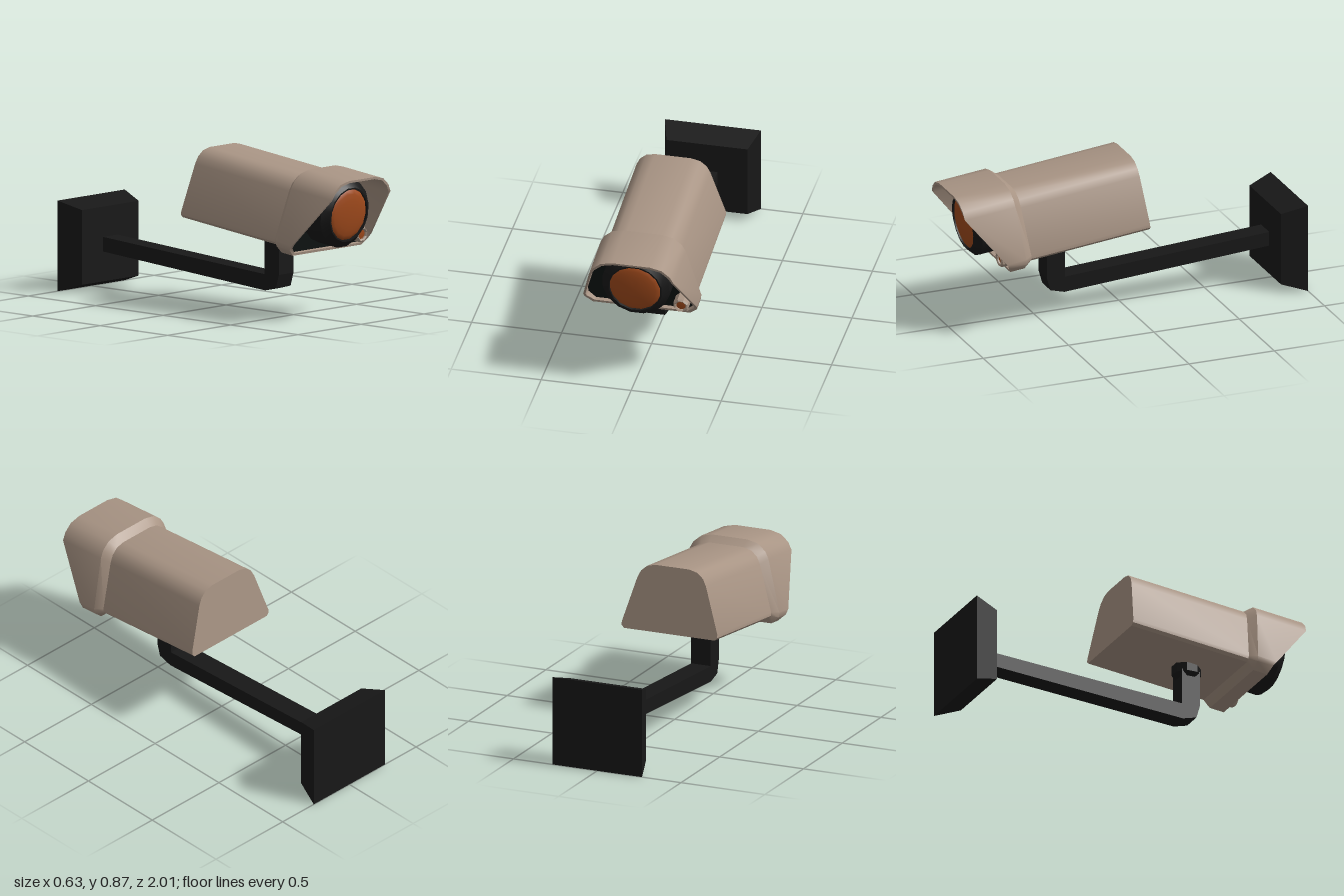
import * as THREE from 'three';
import { toCreasedNormals } from 'three/addons/utils/BufferGeometryUtils.js';

const paint = (color, extra = {}) => new THREE.MeshStandardMaterial({ color, ...extra });
const beige = paint(0xa89484);
const black = paint(0x181818);
const panel = paint(0x0e1312);
const orange = paint(0xa04a1c);

function part(name, geometry, material) {
  const mesh = new THREE.Mesh(geometry, material);
  mesh.name = name;
  return mesh;
}

// Skin between rings of [x, y, z], clockwise seen from +z, optionally capped.
function loft(rings, capped, crease = 0.7) {
  const n = rings[0].length, pos = [];
  const tri = (...corners) => corners.forEach((p) => pos.push(...p));
  for (let i = 0; i + 1 < rings.length; i++) {
    for (let j = 0; j < n; j++) {
      const k = (j + 1) % n;
      const a = rings[i][j], b = rings[i][k], c = rings[i + 1][k], d = rings[i + 1][j];
      tri(a, d, b);
      tri(b, d, c);
    }
  }
  if (capped) {
    const first = rings[0], last = rings[rings.length - 1];
    for (let j = 1; j + 1 < n; j++) {
      tri(first[0], first[j], first[j + 1]);
      tri(last[0], last[j + 1], last[j]);
    }
  }
  const g = new THREE.BufferGeometry();
  g.setAttribute('position', new THREE.Float32BufferAttribute(pos, 3));
  return toCreasedNormals(g, crease);
}

// Mirror a half section (top to bottom on +x) into a closed outline.
const mirror = (half) => [...half, ...half.map(([x, y]) => [-x, y]).reverse()];
const at = (section, z) => section.map(([x, y]) => [x, y, typeof z === 'function' ? z(y) : z]);

// Turned part along z from [radius, z] points.
function turned(points, sides, crease) {
  const g = new THREE.LatheGeometry(points.map(([r, z]) => new THREE.Vector2(r, z)), sides);
  g.rotateY(Math.PI / sides).rotateX(Math.PI / 2);
  return toCreasedNormals(g, crease);
}

export function createModel() {
  const model = new THREE.Group();
  model.name = 'securityCamera';

  // Camera head, tilted nose down; its local z runs along the housing.
  const head = new THREE.Group();
  head.name = 'cameraHead';
  head.position.set(0, 0.505, -0.07);
  head.rotation.x = 0.109;
  model.add(head);

  const bodySection = mirror([[0.1, 0.372], [0.15, 0.36], [0.185, 0.33], [0.205, 0.29],
    [0.285, 0.035], [0.285, 0.015], [0.27, 0]]);
  const hoodSection = mirror([[0.105, 0.408], [0.17, 0.393], [0.215, 0.355], [0.236, 0.315],
    [0.316, 0.03], [0.312, 0.002], [0.27, -0.036]]);
  const innerSection = hoodSection.map(([x, y]) => [x * 0.955, 0.186 + (y - 0.186) * 0.945]);

  head.add(part('housing', loft([at(bodySection, 0), at(bodySection, 0.72)], true), beige));

  // Flared collar and sun hood with a raked front edge
  const rake = (y) => 0.826 + 0.214 * THREE.MathUtils.clamp((y + 0.015) / 0.33, 0, 1);
  head.add(part('hood', loft([
    at(bodySection, 0.7), at(hoodSection, 0.742), at(hoodSection, rake),
    at(innerSection, rake), at(innerSection, 0.78),
  ], false), beige));

  head.add(part('facePlate', loft([at(innerSection, 0.77), at(innerSection, 0.8)], true), panel));

  // Main lens
  const lens = new THREE.Group();
  lens.name = 'lens';
  lens.position.set(0, 0.192, 0);
  lens.add(part('lensBarrel',
    turned([[0.19, 0.78], [0.19, 0.932], [0.152, 0.968], [0.143, 0.968], [0.143, 0.94]], 16, 0.5), black));
  const dome = [];
  for (let i = 0; i <= 5; i++) {
    const t = (i / 5) * Math.PI / 2;
    dome.push([0.145 * Math.cos(t), 0.953 + 0.026 * Math.sin(t)]);
  }
  lens.add(part('lensGlass', turned(dome, 14, 1), orange));
  head.add(lens);

  // Small indicator lamp beside the lens
  const lamp = new THREE.Group();
  lamp.name = 'lamp';
  lamp.position.set(0.229, 0.034, 0);
  lamp.add(part('lampBezel',
    turned([[0.044, 0.79], [0.044, 0.862], [0.036, 0.872], [0.028, 0.866], [0.028, 0.845]], 8, 0.4), beige));
  lamp.add(part('lampGlass', turned([[0.029, 0.858], [0, 0.862]], 8, 0.6), orange));
  head.add(lamp);

  // Swivel collar under the housing
  const collar = new THREE.CylinderGeometry(0.081, 0.081, 0.08, 8).rotateY(Math.PI / 8);
  const chamfer = new THREE.CylinderGeometry(0.081, 0.062, 0.025, 8).rotateY(Math.PI / 8);
  const swivel = new THREE.Group();
  swivel.name = 'swivel';
  swivel.position.set(0, 0, 0.391);
  swivel.add(part('swivelCollar', toCreasedNormals(collar, 0.4), black));
  swivel.add(part('swivelChamfer', toCreasedNormals(chamfer, 0.4), black));
  swivel.children[0].position.y = 0.45;
  swivel.children[1].position.y = 0.3975;
  model.add(swivel);

  // Bent arm, drawn in the z-y plane and given width along x
  const outline = [[0.338, 0.42], [0.338, 0.212], [-0.87, 0.29], [-0.87, 0.21],
    [0.343, 0.123], [0.424, 0.145], [0.445, 0.218], [0.445, 0.42]];
  const armShape = new THREE.Shape(outline.map(([z, y]) => new THREE.Vector2(z, y)));
  const arm = new THREE.ExtrudeGeometry(armShape, { depth: 0.116, bevelEnabled: false });
  arm.translate(0, 0, -0.058).rotateY(-Math.PI / 2);
  model.add(part('arm', arm, black));

  // Wall plate with sloping edges
  const rect = (w, y0, y1) => [[w, y1], [w, y0], [-w, y0], [-w, y1]];
  model.add(part('wallPlate',
    loft([at(rect(0.267, 0, 0.497), -1), at(rect(0.225, 0.045, 0.455), -0.858)], true, 0.2), black));

  return model;
}
